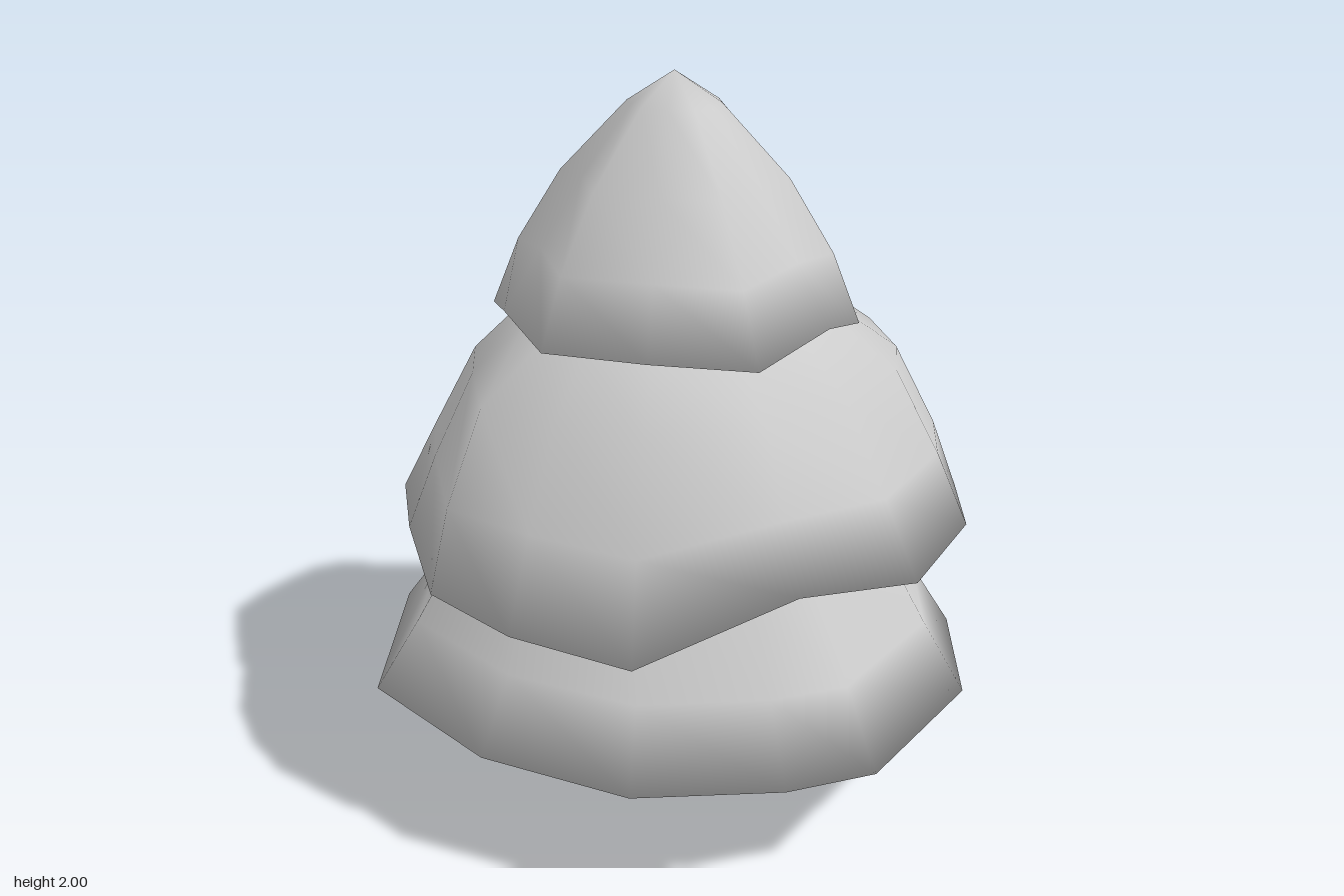
import * as THREE from 'three';
import { mergeVertices } from 'three/addons/utils/BufferGeometryUtils.js';

const material = new THREE.MeshStandardMaterial({ color: 0xcccccc });

// Smooth closed skin: every row is a scaled copy of an uneven rim outline.
// rim point: [x, y, z, bulge]; row: [scale, height, share of rim unevenness, share of bulge]
function skin(name, rim, rows) {
  const n = rim.length;
  const mean = rim.reduce((sum, p) => sum + p[1], 0) / n;
  const positions = [], index = [];
  rows.forEach(([scale, height, uneven = 0, bulge = 0], r) => {
    rim.forEach(([x, y, z, b = 0], i) => {
      const s = scale + b * bulge;
      positions.push(x * s, (height ?? mean) + (y - mean) * uneven, z * s);
      if (r === rows.length - 1) return;
      const j = (i + 1) % n, a = r * n + i, c = r * n + j;
      index.push(a, c, a + n, c, c + n, a + n);
    });
  });
  let geometry = new THREE.BufferGeometry();
  geometry.setAttribute('position', new THREE.Float32BufferAttribute(positions, 3));
  geometry.setIndex(index);
  geometry = mergeVertices(geometry, 1e-5);
  geometry.computeVertexNormals();
  const mesh = new THREE.Mesh(geometry, material);
  mesh.name = name;
  return mesh;
}

export function createModel() {
  const tree = new THREE.Group();
  tree.name = 'tree';

  // Top foliage: rounded cone with a wavy hem
  const topRim = [
    [0.05, 1.38, -0.58, 0.05], [0.34, 1.44, -0.42, 0], [0.46, 1.46, -0.24, 0.02], [0.49, 1.41, 0, -0.02],
    [0.43, 1.35, 0.24, 0.03], [0.23, 1.43, 0.47, -0.02], [0, 1.38, 0.57, 0], [-0.24, 1.39, 0.45, -0.03],
    [-0.43, 1.36, 0.2, 0.03], [-0.465, 1.41, -0.01, -0.04], [-0.43, 1.36, -0.25, 0.03], [-0.24, 1.38, -0.45, 0],
  ];
  tree.add(skin('topFoliage', topRim, [
    [0, 2], [0.25, 1.92], [0.58, 1.74, 0.2, 1], [0.82, 1.56, 0.5, 1],
    [1, null, 1], [0.65, 1.43, 0.3], [0, 1.46],
  ]));

  // Middle foliage: full shoulders, flatter ridge at the back
  const middleRim = [
    [0.01, 0.83, -0.82, -0.1], [0.45, 0.8, -0.65, 0.02], [0.72, 0.8, -0.43, -0.04], [0.86, 0.85, -0.13, 0],
    [0.79, 0.8, 0.18, 0.02], [0.69, 0.8, 0.42, 0], [0.4, 0.8, 0.68, -0.03], [0.03, 0.87, 0.77, 0],
    [-0.36, 0.69, 0.66, 0], [-0.61, 0.73, 0.46, -0.02], [-0.75, 0.76, 0.23, 0.04], [-0.73, 0.8, -0.1, 0],
    [-0.68, 0.8, -0.38, -0.03], [-0.39, 0.8, -0.68, 0.02],
  ];
  tree.add(skin('middleFoliage', middleRim, [
    [0, 1.5], [0.4, 1.45], [0.54, 1.36], [0.74, 1.23, 0.1, 1], [0.89, 1.0, 0.5, 0.8],
    [1, null, 1], [0.65, 0.84, 0.2], [0, 0.87],
  ]));

  // Bottom foliage: wide skirt with the back hem raised
  const bottomRim = [
    [0.01, 0.51, -0.78], [0.4, 0.5, -0.66], [0.7, 0.46, -0.36], [0.8, 0.41, -0.02], [0.77, 0.39, 0.22],
    [0.63, 0.37, 0.56], [0.24, 0.35, 0.81], [0, 0.34, 0.79], [-0.38, 0.35, 0.69], [-0.68, 0.36, 0.4],
    [-0.865, 0.38, 0], [-0.69, 0.45, -0.38], [-0.36, 0.5, -0.7],
  ];
  tree.add(skin('bottomFoliage', bottomRim, [
    [0, 0.95], [0.6, 0.9], [0.7, 0.79], [0.86, 0.58, 0.5],
    [1, null, 1], [0.45, 0.4, 0.35], [0.16, 0.29], [0, 0.29],
  ]));

  // Trunk: slightly uneven column
  const trunkRim = [];
  for (let i = 0; i < 8; i++) {
    const a = (i + 0.5) * Math.PI / 4;
    trunkRim.push([0.008 + 0.132 * Math.sin(a), 0, 0.012 - 0.154 * Math.cos(a)]);
  }
  tree.add(skin('trunk', trunkRim, [[1, 0.36], [1, 0.29], [1, 0], [0, 0]]));

  return tree;
}
